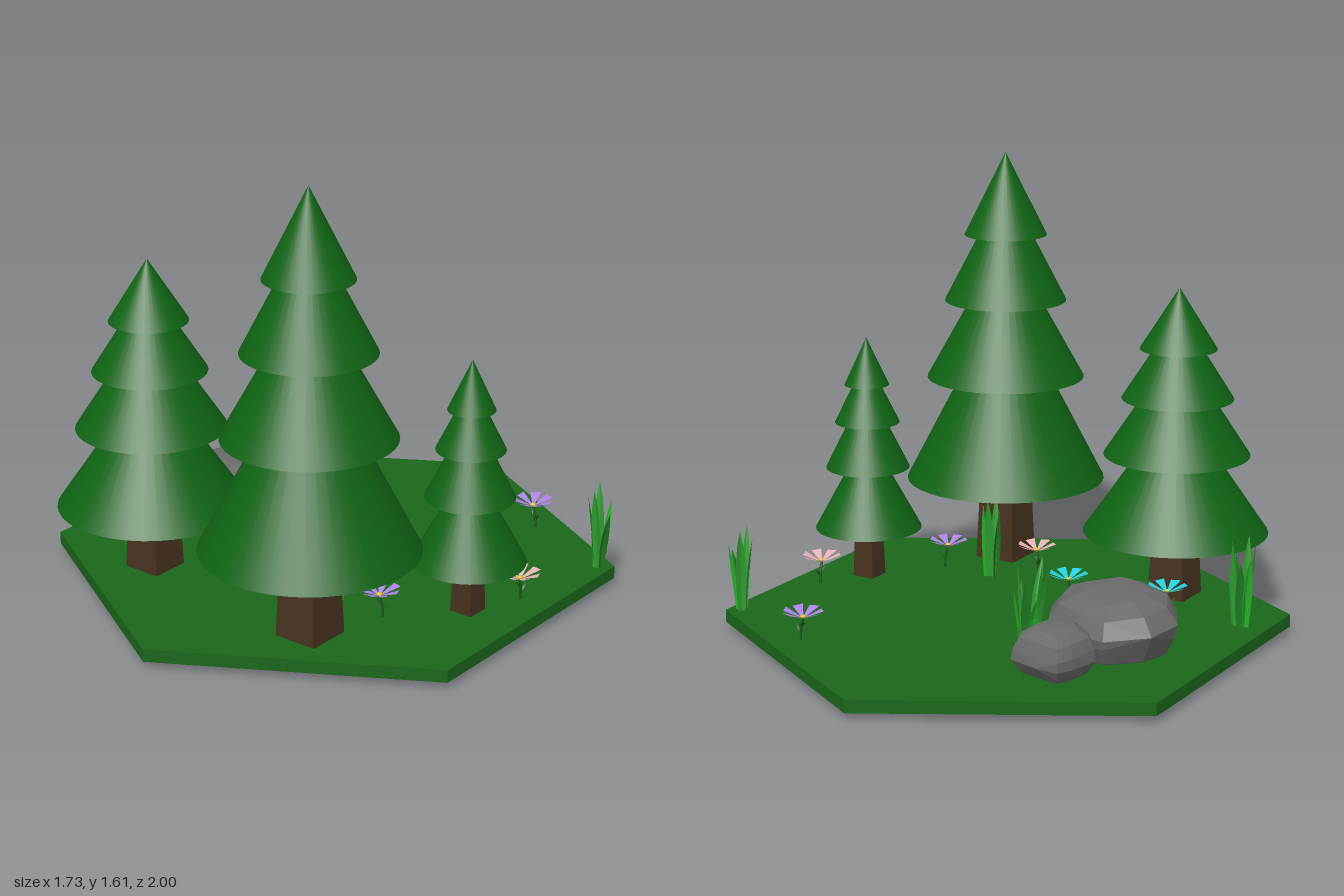
import * as THREE from 'three';
import { ConvexGeometry } from 'three/addons/geometries/ConvexGeometry.js';

const GROUND_Y = 0.075;

const paint = (color, options = {}) => new THREE.MeshStandardMaterial({ color, ...options });
const thin = { side: THREE.DoubleSide, flatShading: true };
const mats = {
  ground: paint(0x1a661a, { flatShading: true }),
  needles: paint(0x0f6414),
  bark: paint(0x46321f, { flatShading: true }),
  rock: paint(0x696969, { flatShading: true }),
  stem: paint(0x1d5a1d, { flatShading: true }),
  leaf: paint(0x1d5a1d, thin),
  centre: paint(0xe8c020),
  grass: [paint(0x2f9e2f, thin), paint(0x1f7a22, thin), paint(0x27b427, thin)],
  purple: paint(0xb080e8, thin),
  pink: paint(0xe8b0b8, thin),
  cyan: paint(0x20d0dc, thin),
};

function add(parent, name, geometry, material, x = 0, y = 0, z = 0) {
  const mesh = new THREE.Mesh(geometry, material);
  mesh.name = name;
  mesh.position.set(x, y, z);
  parent.add(mesh);
  return mesh;
}

function group(parent, name, x = 0, y = 0, z = 0) {
  const g = new THREE.Group();
  g.name = name;
  g.position.set(x, y, z);
  parent.add(g);
  return g;
}

// Small seeded generator for natural variation
function seeded(seed) {
  return () => {
    seed = (seed * 16807) % 2147483647;
    return seed / 2147483647;
  };
}

// Conifer: square tapered trunk under stacked cones, tiers are [bottom y, radius, tip y]
function addTree(parent, x, z, trunkWidth, tiers) {
  const tree = group(parent, 'tree', x, 0, z);
  const top = tiers[0][0] + 0.06, bottom = GROUND_Y - 0.02;
  const trunk = new THREE.CylinderGeometry(trunkWidth * 0.41 * Math.SQRT2, trunkWidth * 0.5 * Math.SQRT2, top - bottom, 4);
  trunk.rotateY(Math.PI / 4);
  add(tree, 'trunk', trunk, mats.bark, 0, (top + bottom) / 2, 0);
  for (const [y, r, tip] of tiers) {
    add(tree, 'foliageTier', new THREE.ConeGeometry(r, tip - y, 40), mats.needles, 0, (y + tip) / 2, 0);
  }
}

// Rock: convex hull of one plan outline scaled at several heights, rings are [y, scale]
function addRock(parent, cx, cz, outline, rings, tilt) {
  const points = [];
  rings.forEach(([y, s], i) => {
    outline.forEach(([px, pz], j) => {
      const k = s * (1 - 0.035 * ((i * 3 + j * 5) % 3) * (s < 1 ? 1 : 0));
      const dx = (px - cx) * k, dz = (pz - cz) * k;
      points.push(new THREE.Vector3(dx, y + dz * tilt * (y > 0.15 ? 1 : 0), dz));
    });
  });
  add(parent, 'rock', new ConvexGeometry(points), mats.rock, cx, 0, cz);
}

// Grass blade: a folded strip that tapers to a point and bends forwards
function bladeGeometry(width, height, bend) {
  const g = new THREE.PlaneGeometry(width, height, 2, 5);
  const p = g.attributes.position;
  for (let i = 0; i < p.count; i++) {
    const t = p.getY(i) / height + 0.5;
    const x = p.getX(i) * (0.65 + 1.4 * t) * (1 - t * t);
    p.setXYZ(i, x, t * height, bend * t * t + Math.abs(x) * 0.4);
  }
  g.computeVertexNormals();
  return g;
}

function addGrass(parent, x, z, count, spread, height, bend, seed) {
  const rand = seeded(seed);
  const clump = group(parent, 'grassClump', x, GROUND_Y - 0.005, z);
  for (let i = 0; i < count; i++) {
    const a = (i / count) * Math.PI * 2 + rand() * 0.6;
    const r = spread * (0.5 + 0.5 * rand());
    const h = height * (i % 3 === 0 ? 1 : 0.65 + 0.3 * rand());
    const blade = add(clump, 'grassBlade', bladeGeometry(0.035, h, bend * (0.3 + 0.7 * rand())),
      mats.grass[i % 3], Math.sin(a) * r, 0, Math.cos(a) * r);
    blade.rotation.y = a;
  }
}

// Petal: wedge widening and rising away from the flower centre
function petalGeometry() {
  const shape = new THREE.Shape();
  shape.moveTo(-0.004, 0.008);
  shape.lineTo(0.004, 0.008);
  shape.lineTo(0.019, 0.07);
  shape.lineTo(-0.019, 0.076);
  shape.closePath();
  return new THREE.ShapeGeometry(shape).rotateX(Math.PI / 2 - 0.38);
}

function addFlower(parent, x, z, material, turn) {
  const flower = group(parent, 'flower', x, GROUND_Y, z);
  flower.rotation.y = turn;
  // Slightly curved stem
  const path = new THREE.QuadraticBezierCurve3(
    new THREE.Vector3(0.012, -0.005, 0), new THREE.Vector3(0.012, 0.045, 0), new THREE.Vector3(0, 0.08, 0));
  add(flower, 'stem', new THREE.TubeGeometry(path, 5, 0.005, 5), mats.stem);
  // Two small leaves
  for (const [y, a] of [[0.025, 1.2], [0.04, 4.2]]) {
    const leaf = add(flower, 'leaf', bladeGeometry(0.016, 0.03, 0.025), mats.leaf, 0.01, y, 0);
    leaf.rotation.y = a;
  }
  for (let i = 0; i < 7; i++) {
    const petal = add(flower, 'petal', petalGeometry(), material, 0, 0.078, 0);
    petal.rotation.y = (i / 7) * Math.PI * 2;
  }
  const centre = add(flower, 'flowerCentre', new THREE.SphereGeometry(0.011, 10, 6), mats.centre, 0, 0.084, 0);
  centre.scale.y = 0.6;
}

export function createModel() {
  const model = new THREE.Group();
  model.name = 'forestTile';

  // Hexagonal ground slab
  add(model, 'ground', new THREE.CylinderGeometry(1, 1, 0.045, 6), mats.ground, 0, 0.0525, 0);

  // Three conifers
  addTree(model, -0.41, 0.49, 0.145,
    [[0.315, 0.333, 0.8], [0.6, 0.262, 1.0], [0.805, 0.2, 1.12], [0.985, 0.138, 1.205]]);
  addTree(model, 0.355, 0.57, 0.163,
    [[0.385, 0.37, 1.1], [0.775, 0.292, 1.3], [1.065, 0.225, 1.5], [1.31, 0.152, 1.615]]);
  addTree(model, 0.66, 0.1, 0.086,
    [[0.26, 0.195, 0.62], [0.49, 0.153, 0.8], [0.66, 0.118, 0.9], [0.8, 0.081, 0.975]]);

  // Two boulders
  addRock(model, -0.49, -0.11,
    [[-0.57, -0.33], [-0.7, -0.23], [-0.73, -0.1], [-0.66, 0.02], [-0.51, 0.1],
      [-0.43, 0.1], [-0.27, -0.06], [-0.265, -0.14], [-0.31, -0.24], [-0.45, -0.31]],
    [[0.005, 0.2], [0.03, 0.52], [0.08, 0.85], [0.14, 0.98], [0.19, 1], [0.245, 0.86], [0.275, 0.55], [0.282, 0.25]], 0.09);
  addRock(model, -0.445, -0.42,
    [[-0.53, -0.555], [-0.44, -0.55], [-0.33, -0.52], [-0.315, -0.46], [-0.34, -0.33],
      [-0.37, -0.29], [-0.46, -0.285], [-0.55, -0.34], [-0.58, -0.39], [-0.555, -0.5]],
    [[0.06, 0.65], [0.09, 0.86], [0.125, 1], [0.165, 0.99], [0.205, 0.85], [0.23, 0.55], [0.236, 0.25]], 0.05);

  // Grass clumps
  addGrass(model, -0.765, 0.31, 8, 0.035, 0.32, 0.05, 11);
  addGrass(model, -0.255, -0.28, 8, 0.03, 0.31, 0.07, 29);
  addGrass(model, 0.265, 0.32, 6, 0.02, 0.31, 0.04, 47);
  addGrass(model, 0.822, -0.465, 5, 0.015, 0.31, 0.04, 83);

  // Flowers
  const flowers = [
    [0.445, -0.61, 'purple'], [0.46, 0.33, 'purple'],
    [0.755, -0.07, 'pink'], [0.147, 0.45, 'pink'],
    [-0.125, 0.215, 'cyan'], [-0.49, 0.28, 'cyan'],
  ];
  flowers.forEach(([x, z, color], i) => addFlower(model, x, z, mats[color], i * 0.9));

  return model;
}
